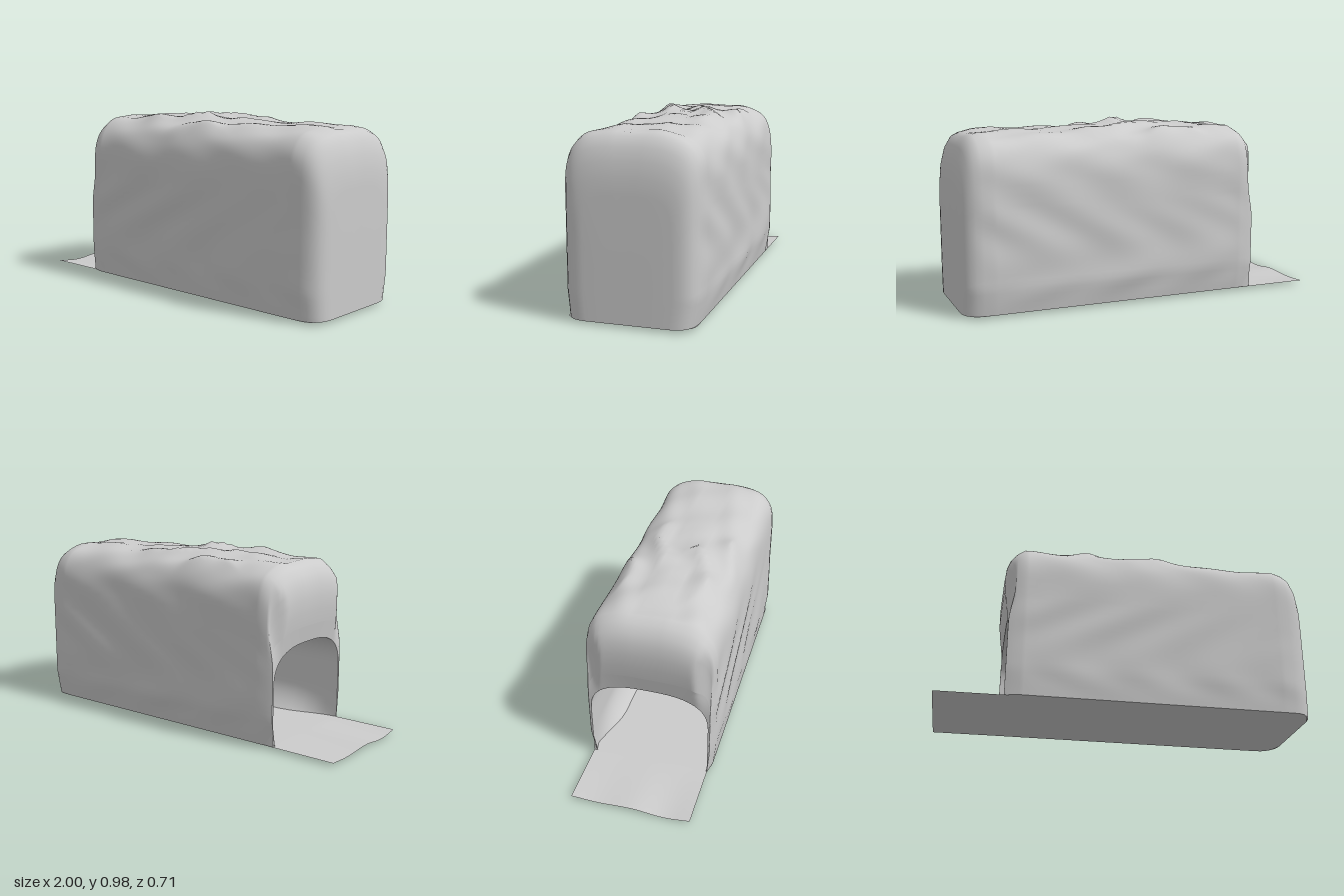
import * as THREE from 'three';

const BASE = 0.016;
const clamp = THREE.MathUtils.clamp;
const smooth = THREE.MathUtils.smoothstep;
const material = new THREE.MeshStandardMaterial({ color: 0xcccccc, side: THREE.DoubleSide });

// Arch outline from +z foot over the top to -z foot: straight legs and a superelliptic crown
function archPoint(v, width, spring, rise, power) {
  const leg = 0.22;
  if (v <= leg) return [width, spring * v / leg];
  if (v >= 1 - leg) return [-width, spring * (1 - v) / leg];
  const a = Math.PI * (v - leg) / (1 - 2 * leg);
  const c = Math.cos(a);
  return [
    width * Math.sign(c) * Math.abs(c) ** (2 / power),
    spring + rise * Math.abs(Math.sin(a)) ** (2 / power),
  ];
}
const outer = v => archPoint(v, 0.348, 0.585, 0.335, 3.6);
const inner = v => archPoint(v, 0.32, 0.29, 0.21, 2.8);

// Narrows the foot of the rock, more on the -z side
const footScale = (y, z) => 1 - (z > 0 ? 0.035 : 0.08) * (1 - clamp(y / 0.14, 0, 1));

// Portal end: upright legs, overhanging brow, upper corners rounded off
function portalEdge(y, z) {
  const high = smooth(y, 0.4, 0.62);
  return -0.645 - 0.027 * high + 0.055 * high * smooth(Math.abs(z), 0.23, 0.33);
}

// Smooth surface over rows x columns, point(i, v) giving [x, y, z]
function grid(name, rows, cols, point) {
  const pos = [], index = [];
  for (let i = 0; i < rows; i++) {
    for (let j = 0; j <= cols; j++) pos.push(...point(i, j / cols));
  }
  for (let i = 0; i < rows - 1; i++) {
    for (let j = 0; j < cols; j++) {
      const a = i * (cols + 1) + j, b = a + cols + 1;
      index.push(a, b, a + 1, b, b + 1, a + 1);
    }
  }
  const geometry = new THREE.BufferGeometry();
  geometry.setAttribute('position', new THREE.Float32BufferAttribute(pos, 3));
  geometry.setIndex(index);
  geometry.computeVertexNormals();
  const mesh = new THREE.Mesh(geometry, material);
  mesh.name = name;
  return mesh;
}

// Uneven rock: gentle swells on the sides, lengthwise ridges on top
function roughen(x, y, z) {
  const ends = smooth(x, -0.66, -0.5) * (1 - smooth(x, 0.84, 0.97));
  const side = smooth(Math.abs(z), 0.2, 0.33) * Math.sign(z);
  const top = smooth(y, 0.8, 0.92);
  const swell = 0.005 * Math.sin(8 * x + 3 * Math.sin(6 * y + 2 * z)) * Math.sin(9 * y - 4 * x + 1)
    + 0.003 * Math.sin(15 * x + 4 * Math.sin(7 * y) + 9 * z);
  const ridge = 1 - Math.abs(Math.sin(15 * z + 1.3 * Math.sin(7 * x) + 1.5));
  const hump = Math.exp(-(((x + 0.03) / 0.32) ** 4));
  const lift = hump * (0.008 + 0.032 * ridge * (0.75 + 0.25 * Math.sin(29 * x + 8 * z)))
    + 0.009 * Math.sin(13 * x + 11 * z) * Math.sin(21 * z - 5 * x);
  return [x, BASE + y + top * ends * lift,
    z * footScale(y, z) + side * ends * swell * smooth(y, 0, 0.15)];
}

export function createModel() {
  const group = new THREE.Group();

  // Rock shell: rings of [x, width scale, height scale], from portal top to closed far end
  const rings = [
    [-0.66, 0.94, 0.64], [-0.67, 0.94, 0.72], [-0.672, 0.94, 0.8],
    [-0.665, 0.945, 0.87], [-0.645, 0.955, 0.93], [-0.61, 0.975, 0.975],
  ];
  for (let i = 0; i <= 70; i++) rings.push([-0.57 + 1.42 * i / 70, 1, 1]);
  rings.push([0.9, 0.985, 0.99], [0.935, 0.96, 0.97], [0.965, 0.91, 0.92], [0.985, 0.84, 0.85],
    [0.996, 0.75, 0.77], [1, 0.64, 0.68], [1, 0.35, 0.35], [1, 0, 0]);
  group.add(grid('rockShell', rings.length, 90, (i, v) => {
    const [x, sz, sy] = rings[i];
    const [z, y] = outer(v);
    return roughen(Math.max(x, portalEdge(y * sy, z * sz)), y * sy, z * sz);
  }));

  // Portal face between the arch opening and the shell
  group.add(grid('portalFace', 5, 90, (i, v) => {
    const t = i / 4, [z0, y0] = inner(v), [zo, yo] = outer(v);
    const y = y0 + (yo * 0.64 - y0) * t;
    const z = z0 + (zo * 0.94 * footScale(yo * 0.64, zo) - z0) * t;
    return [Math.max(-0.645 - 0.015 * t, portalEdge(y, z)), BASE + y, z];
  }));

  // Tunnel lining, its lower walls curving into the floor behind the mouth
  const lining = (x, v) => {
    const [z, y] = inner(v);
    const curve = 0.22 * smooth(x, -0.64, -0.3) * Math.max(0, 1 - y / 0.16) ** 2;
    return [x, BASE + y, z * (1 - curve)];
  };
  group.add(grid('tunnel', 24, 80, (i, v) => lining(0.93 - 1.575 * i / 23, v)));
  group.add(grid('tunnelEnd', 2, 80, (i, v) => {
    const [x, y, z] = lining(0.93, v);
    return [x, BASE + (y - BASE) * i, z * i];
  }));

  // Thin floor sheet running out through the portal with a wavy outer edge
  group.add(grid('floor', 81, 24, (i, v) => {
    const x = -1 + 2 * i / 80;
    const side = 1 - 2 * v;
    const under = smooth(x, -0.64, -0.58) * (side > 0 ? 0.016 : 0);
    const round = 1 - 0.34 * Math.max(0, (x - 0.85) / 0.15) ** 5;
    const z = side * (0.32 + under) * round;
    const wave = Math.sin(Math.PI * Math.min(1, Math.abs(z) / 0.36)) ** 2 * (z > 0 ? 0.016 : 0.008);
    return [x, BASE - wave * clamp((-0.65 - x) / 0.35, 0, 1), z];
  }));

  return group;
}
